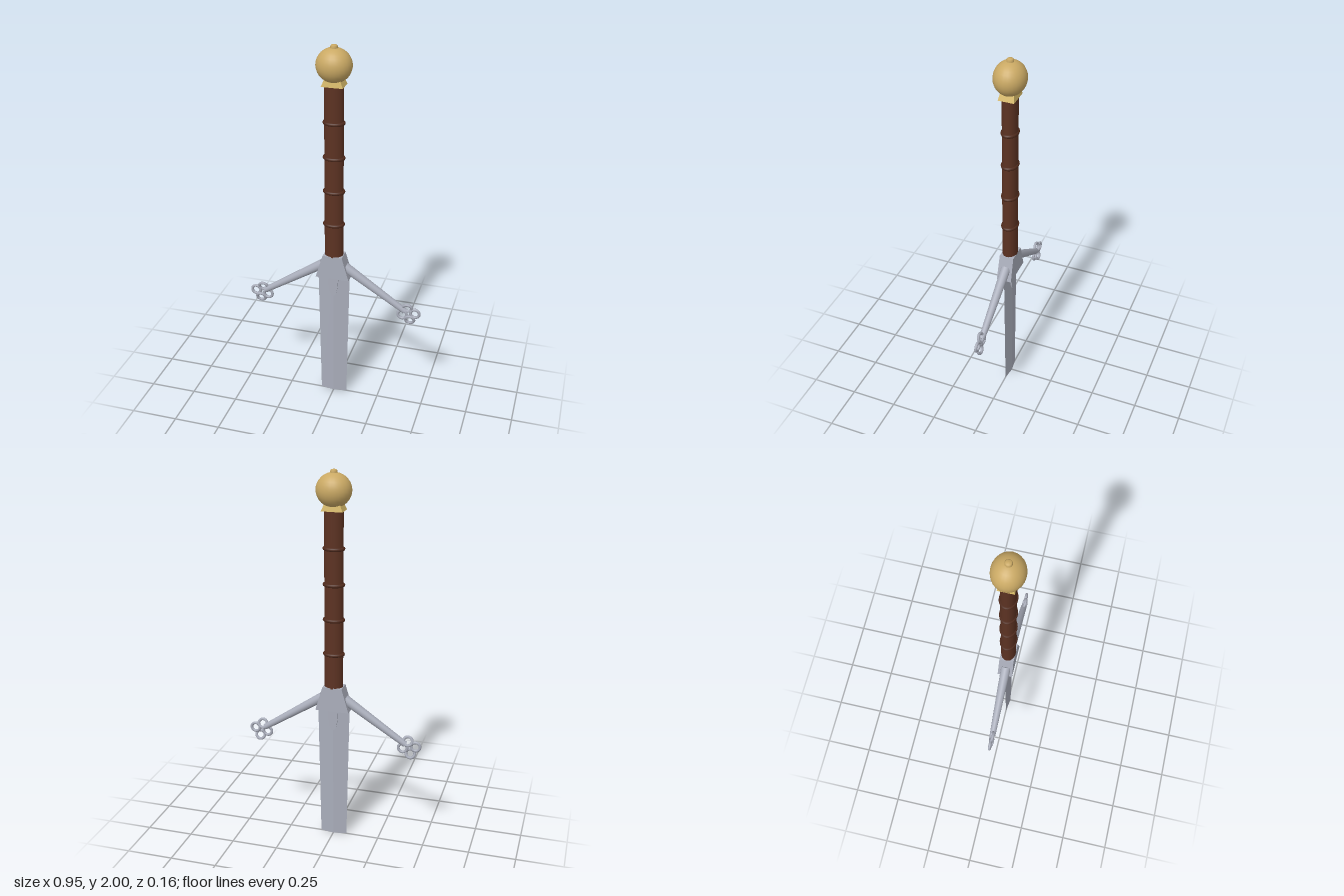
import * as THREE from 'three';

const mat = (name, color) => {
  const m = new THREE.MeshStandardMaterial({ color });
  m.name = name;
  return m;
};

export function createModel() {
  const steel = mat('steel', 0xa9adba);
  const gold = mat('gold', 0xcaa964);
  const brightGold = mat('brightGold', 0xd4b766);
  const leather = mat('leather', 0x5c3222);
  const darkLeather = mat('darkLeather', 0x4f2a1c);

  const model = new THREE.Group();
  model.name = 'sword';

  const add = (name, geometry, material, x = 0, y = 0, z = 0, parent = model) => {
    const mesh = new THREE.Mesh(geometry, material);
    mesh.name = name;
    mesh.position.set(x, y, z);
    parent.add(mesh);
    return mesh;
  };

  // Box whose half widths differ between bottom and top
  const taperedBox = (y0, y1, bottom, top) => {
    const g = new THREE.BoxGeometry(2, y1 - y0, 2);
    const p = g.attributes.position;
    for (let i = 0; i < p.count; i++) {
      const [hx, hz] = p.getY(i) > 0 ? top : bottom;
      p.setX(i, p.getX(i) * hx);
      p.setZ(i, p.getZ(i) * hz);
    }
    g.translate(0, (y0 + y1) / 2, 0);
    g.computeVertexNormals();
    return g;
  };

  // Blade: diamond section with a central ridge and a cut-off end
  let blade = new THREE.CylinderGeometry(0.086, 0.072, 0.76, 4);
  blade.scale(1, 1, 0.16);
  blade = blade.toNonIndexed();
  blade.computeVertexNormals();
  add('blade', blade, steel, 0, 0.38, 0);

  // Guard block and the tongue-shaped langets below it
  add('guardBlock', taperedBox(0.745, 0.875, [0.09, 0.04], [0.052, 0.038]), steel);
  const tongue = new THREE.Shape();
  tongue.moveTo(-0.027, 0.76);
  tongue.bezierCurveTo(-0.027, 0.68, -0.018, 0.63, 0, 0.627);
  tongue.bezierCurveTo(0.018, 0.63, 0.027, 0.68, 0.027, 0.76);
  tongue.closePath();
  const langet = new THREE.ExtrudeGeometry(tongue, { depth: 0.036, bevelEnabled: false, curveSegments: 10 });
  add('langets', langet, steel, 0, 0, -0.018);

  // Sloping guard arms, each ending in four joined rings
  const root = new THREE.Vector3(0.06, 0.807, 0);
  const tip = new THREE.Vector3(0.388, 0.59, 0);
  const along = tip.clone().sub(root);
  const armGeometry = new THREE.CylinderGeometry(0.016, 0.026, along.length(), 16);
  const ringGeometry = new THREE.TorusGeometry(0.0235, 0.0078, 8, 20);
  for (const side of [1, -1]) {
    const arm = new THREE.Group();
    arm.name = side > 0 ? 'leftGuardArm' : 'rightGuardArm';
    const mid = root.clone().add(tip).multiplyScalar(0.5);
    const bar = add('guardBar', armGeometry, steel, side * mid.x, mid.y, 0, arm);
    bar.quaternion.setFromUnitVectors(
      new THREE.Vector3(0, 1, 0),
      new THREE.Vector3(side * along.x, along.y, 0).normalize());
    for (let i = 0; i < 4; i++) {
      const a = 0.21 + i * Math.PI / 2;
      const ring = add('quatrefoilRing', ringGeometry, steel,
        side * (0.409 + 0.035 * Math.cos(a)), 0.575 + 0.035 * Math.sin(a), 0, arm);
      if (i % 2) ring.rotation.x = 0.3;
    }
    model.add(arm);
  }

  // Oval grip with four raised bands
  const grip = new THREE.CylinderGeometry(0.049, 0.049, 0.94, 24);
  grip.scale(1, 1, 0.79);
  add('grip', grip, leather, 0, 1.34, 0);
  for (const y of [1.055, 1.24, 1.425, 1.61]) {
    const band = new THREE.TorusGeometry(0.049, 0.009, 8, 28);
    band.rotateX(Math.PI / 2);
    band.scale(1, 1, 0.77);
    add('gripBand', band, darkLeather, 0, y, 0);
  }

  // Pommel: collar, slightly flattened ball and end button
  add('pommelCollar', taperedBox(1.8, 1.835, [0.055, 0.041], [0.04, 0.034]), brightGold);
  const ball = new THREE.SphereGeometry(1, 24, 16);
  ball.scale(0.09, 0.086, 0.081);
  add('pommelBall', ball, gold, 0, 1.9, 0);
  const button = [[0.018, 0], [0.018, 0.02], [0.013, 0.026], [0, 0.027]];
  add('pommelButton', new THREE.LatheGeometry(button.map(([x, y]) => new THREE.Vector2(x, y)), 16),
    gold, 0, 1.973, 0);

  return model;
}
